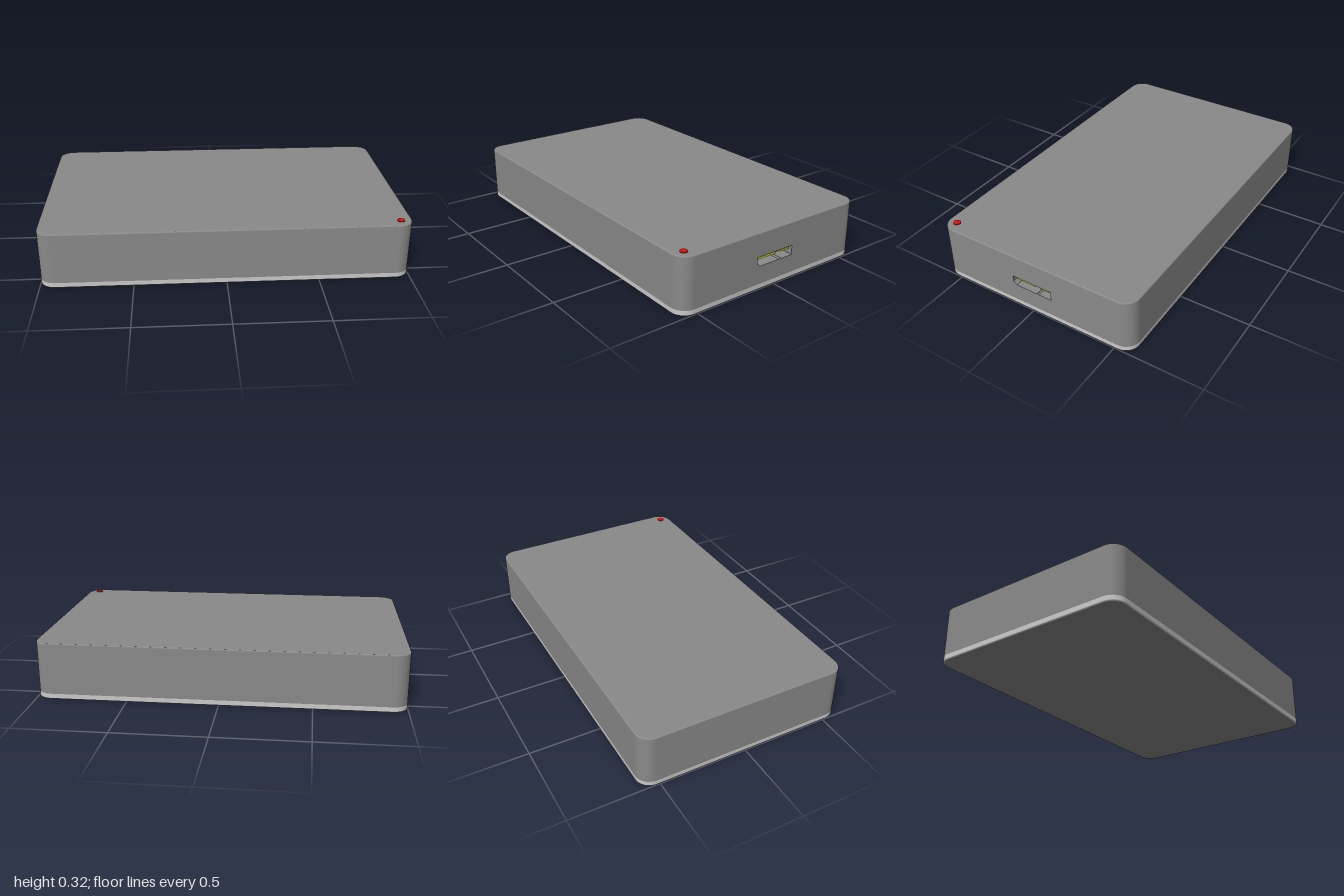
import * as THREE from 'three';

const HX = 1, HZ = 0.6, R = 0.08, SEG = 8, TOP = 0.316, WALL_TOP = 0.31, BAND = 0.03, EDGE = 0.006;

// Rounded-rectangle outline, starting and ending on the +x side
function outline() {
  const pts = [];
  for (let q = 0; q < 4; q++) {
    const cx = (q === 0 || q === 3 ? 1 : -1) * (HX - R);
    const cz = (q < 2 ? 1 : -1) * (HZ - R);
    for (let i = 0; i <= SEG; i++) {
      const a = (q + i / SEG) * Math.PI / 2;
      pts.push({ x: cx + R * Math.cos(a), z: cz + R * Math.sin(a), nx: Math.cos(a), nz: Math.sin(a) });
    }
  }
  return pts;
}

// Sweeps a profile of [inset, y] points, bottom to top, around the outline
function skirt(profile, closed) {
  const ring = outline();
  if (closed) ring.push(ring[0]);
  const pos = [], nor = [], idx = [];
  profile.forEach(([inset, y], k) => {
    const a = profile[Math.max(k - 1, 0)], b = profile[Math.min(k + 1, profile.length - 1)];
    const dy = b[1] - a[1], di = b[0] - a[0], len = Math.hypot(dy, di);
    for (const p of ring) {
      pos.push(p.x - inset * p.nx, y, p.z - inset * p.nz);
      nor.push(p.nx * dy / len, di / len, p.nz * dy / len);
    }
  });
  const n = ring.length;
  for (let k = 0; k < profile.length - 1; k++) {
    for (let i = 0; i < n - 1; i++) {
      const a = k * n + i, b = a + 1, c = a + n, d = c + 1;
      idx.push(a, c, b, b, c, d);
    }
  }
  const g = new THREE.BufferGeometry();
  g.setAttribute('position', new THREE.Float32BufferAttribute(pos, 3));
  g.setAttribute('normal', new THREE.Float32BufferAttribute(nor, 3));
  g.setIndex(idx);
  return g;
}

// Flat lid facing up (1) or down (-1)
function lid(inset, y, facing) {
  const pts = outline().map(p => new THREE.Vector2(p.x - inset * p.nx, p.z - inset * p.nz));
  return new THREE.ShapeGeometry(new THREE.Shape(pts)).rotateX(-facing * Math.PI / 2).translate(0, y, 0);
}

export function createModel() {
  const model = new THREE.Group();
  const dark = new THREE.MeshStandardMaterial({ color: 0x8a8a8a });
  const darkDouble = new THREE.MeshStandardMaterial({ color: 0x8a8a8a, side: THREE.DoubleSide });
  const silver = new THREE.MeshStandardMaterial({ color: 0xcccccc });
  const add = (name, geometry, material, parent = model) => {
    const m = new THREE.Mesh(geometry, material);
    m.name = name;
    parent.add(m);
    return m;
  };

  // Casing: wall left open on the port side, softened edges, top and base
  const arc = t => [EDGE * (1 - Math.cos(t)), EDGE * Math.sin(t)];
  const steps = [0, 1, 2, 3].map(i => arc(i * Math.PI / 6));
  add('casingWall', skirt([[0, BAND], [0, WALL_TOP]], false), dark);
  add('topEdge', skirt(steps.map(([i, h]) => [i, WALL_TOP + h]), true), dark);
  add('topPanel', lid(EDGE, TOP, 1), dark);
  add('silverBand', skirt([[0, EDGE], [0, BAND]], true), silver);
  add('bottomEdge', skirt(steps.map(([i, h]) => [i, EDGE - h]).reverse(), true), silver);
  add('basePanel', lid(EDGE, 0, -1), dark);

  // Port: side wall with an opening, the recess behind it and two contact tongues
  const port = new THREE.Group();
  port.name = 'port';
  model.add(port);
  const depth = 0.07;
  const hole = [[-0.12, 0.148], [-0.1, 0.13], [0.03, 0.13], [0.037, 0.138], [0.044, 0.13],
    [0.12, 0.13], [0.12, 0.182], [-0.12, 0.182]].map(p => new THREE.Vector2(...p));
  const w = HZ - R;
  const face = new THREE.Shape([[-w, BAND], [w, BAND], [w, WALL_TOP], [-w, WALL_TOP]].map(p => new THREE.Vector2(...p)));
  face.holes.push(new THREE.Path(hole));
  add('portWall', new THREE.ShapeGeometry(face).rotateY(Math.PI / 2).translate(HX, 0, 0), dark, port);
  add('portFloor', new THREE.ShapeGeometry(new THREE.Shape(hole)).rotateY(Math.PI / 2).translate(HX - depth, 0, 0), dark, port);

  const walls = [];
  hole.forEach((p, i) => {
    const q = hole[(i + 1) % hole.length], a = HX, b = HX - depth;
    walls.push(a, p.y, -p.x, b, p.y, -p.x, a, q.y, -q.x);
    walls.push(a, q.y, -q.x, b, p.y, -p.x, b, q.y, -q.x);
  });
  const recess = new THREE.BufferGeometry();
  recess.setAttribute('position', new THREE.Float32BufferAttribute(walls, 3));
  recess.computeVertexNormals();
  add('portRecess', recess, darkDouble, port);

  for (const [name, z0, z1, color] of [['wideTongue', 0.105, -0.015, 0xd0dc28], ['narrowTongue', -0.047, -0.107, 0xd0b818]]) {
    const tongue = add(name, new THREE.BoxGeometry(0.06, 0.01, z0 - z1), new THREE.MeshStandardMaterial({ color }), port);
    tongue.position.set(HX - depth + 0.03, 0.169, (z0 + z1) / 2);
  }

  // Indicator light on the top corner
  const light = add('indicatorLight', new THREE.CylinderGeometry(0.02, 0.02, 0.012, 24),
    new THREE.MeshStandardMaterial({ color: 0xdd1111 }));
  light.position.set(0.937, 0.315, 0.54);
  return model;
}
